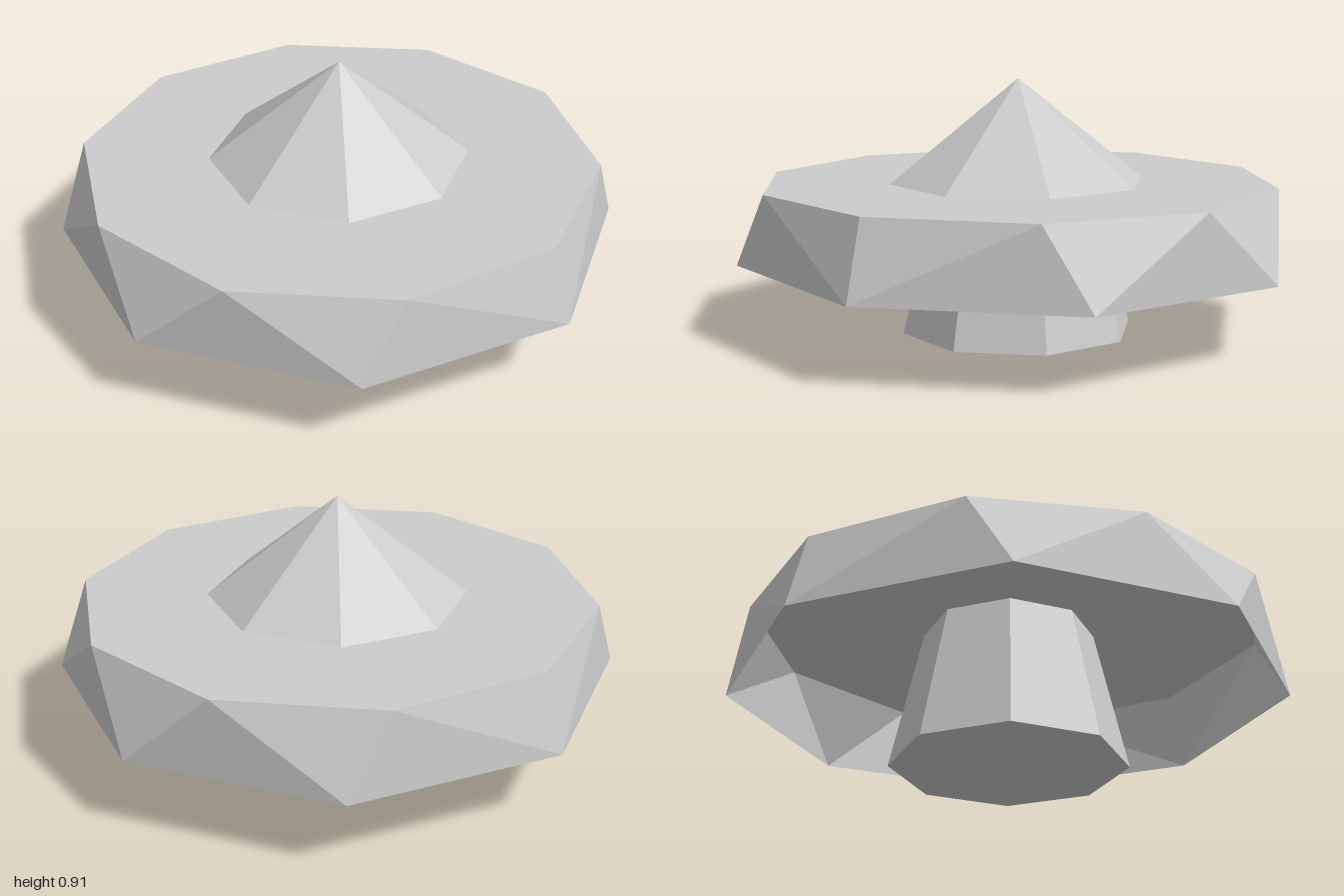
import * as THREE from 'three';

const SIDES = 8;      // stem, peak and lower edge of the brim
const TOP_SIDES = 10; // upper edge of the brim

// Points of a regular polygon, with a height rule
function ring(count, radius, height) {
  return Array.from({ length: count }, (_, i) => {
    const a = (i / count) * Math.PI * 2;
    const x = Math.cos(a) * radius, z = Math.sin(a) * radius;
    return [x, height(x, z), z];
  });
}

// Hollow brim: a ten-sided plate whose faceted skirt meets an eight-sided lower edge
function brimGeometry() {
  const low = ring(SIDES, 1, (x, z) => 0.268 + 0.004 * x + 0.005 * z);
  const high = ring(TOP_SIDES, 0.925, () => 0.54);
  const corners = [];
  const face = (...points) => points.forEach((p) => corners.push(...p));

  // each edge joins the nearest corner of the other ring
  const nearest = (points, i, count) =>
    points[Math.round(((i + 0.5) / count) * points.length) % points.length];

  for (let i = 0; i < SIDES; i++)
    face(low[(i + 1) % SIDES], low[i], nearest(high, i, SIDES));
  for (let i = 0; i < TOP_SIDES; i++) {
    const next = high[(i + 1) % TOP_SIDES];
    face(nearest(low, i, TOP_SIDES), high[i], next);
    face([0, 0.54, 0], next, high[i]);
  }

  const geometry = new THREE.BufferGeometry();
  geometry.setAttribute('position', new THREE.Float32BufferAttribute(corners, 3));
  geometry.computeVertexNormals();
  return geometry;
}

export function createModel() {
  const model = new THREE.Group();
  model.name = 'lowPolyMushroom';
  const material = new THREE.MeshStandardMaterial({ color: 0xcccccc, flatShading: true });
  const shell = material.clone();
  shell.side = THREE.DoubleSide;

  const add = (name, geometry, mat, y = 0) => {
    const mesh = new THREE.Mesh(geometry, mat);
    mesh.name = name;
    mesh.position.y = y;
    model.add(mesh);
  };

  // Tapered stem
  add('stem', new THREE.CylinderGeometry(0.305, 0.42, 0.5, SIDES), material, 0.25);
  // Open-bottomed brim
  add('brim', brimGeometry(), shell);
  // Pointed peak
  add('peak', new THREE.ConeGeometry(0.463, 0.365, SIDES, 1, true), shell, 0.54 + 0.365 / 2);

  return model;
}
